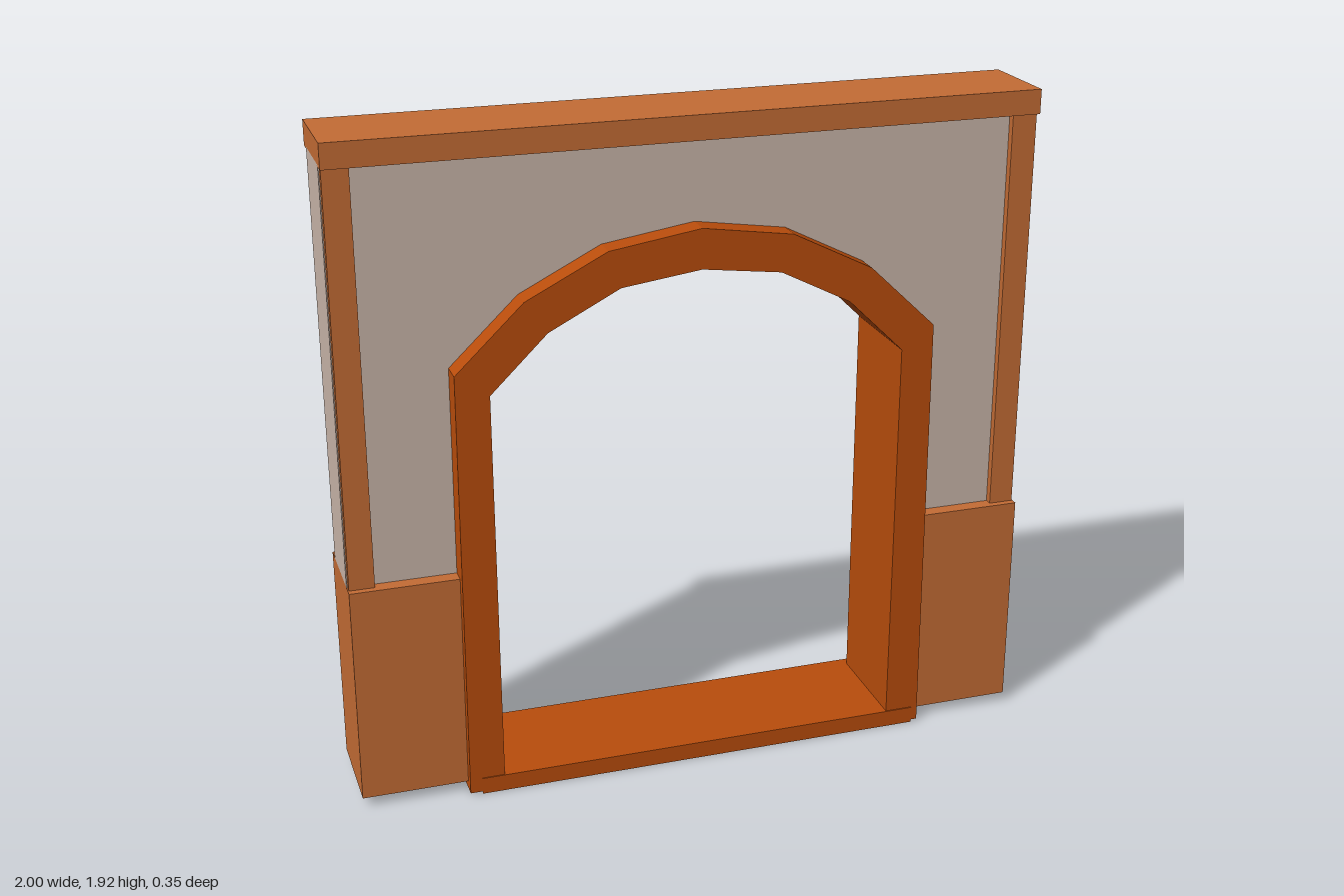
import * as THREE from 'three';

const wood = new THREE.MeshStandardMaterial({ color: 0xb94d0c });
wood.name = 'dark orange trim';
const brick = new THREE.MeshStandardMaterial({ color: 0xc46c35, side: THREE.DoubleSide });
brick.name = 'terracotta';
const plaster = new THREE.MeshStandardMaterial({ color: 0xcab6aa });
plaster.name = 'plaster';

// Arch outlines, right half, from the foot up to the crown
const outer = [[0.695, 0.006], [0.69, 1.28], [0.495, 1.467], [0.262, 1.585], [0, 1.625]];
const inner = [[0.593, 0.006], [0.595, 1.215], [0.432, 1.375], [0.228, 1.48], [0, 1.51]];

// Mirrors a half outline into one running from +x foot over the crown to -x foot
const mirror = (half) => [...half, ...half.slice(0, -1).reverse().map(([x, y]) => [-x, y])];
const toShape = (pts) => new THREE.Shape(pts.map(([x, y]) => new THREE.Vector2(x, y)));

export function createModel() {
  const group = new THREE.Group();

  const add = (name, geometry, material) => {
    const mesh = new THREE.Mesh(geometry, material);
    mesh.name = name;
    group.add(mesh);
  };

  // Box from its limits; open lists faces to leave out (0 +x, 1 -x, 2 +y, 3 -y, 4 +z, 5 -z)
  const box = (name, [x0, x1], [y0, y1], [z0, z1], material, open = []) => {
    const g = new THREE.BoxGeometry(x1 - x0, y1 - y0, z1 - z0);
    g.translate((x0 + x1) / 2, (y0 + y1) / 2, (z0 + z1) / 2);
    if (open.length) {
      g.setIndex(Array.from(g.index.array).filter((_, i) => !open.includes(Math.floor(i / 6))));
      g.clearGroups();
    }
    add(name, g, material);
  };

  const extrude = (name, pts, z0, z1, material) => {
    const g = new THREE.ExtrudeGeometry(toShape(pts), { depth: z1 - z0, bevelEnabled: false });
    g.translate(0, 0, z0);
    add(name, g, material);
  };

  // Arched door surround
  extrude('archFrame', [...mirror(outer), ...mirror(inner).reverse()], -0.147, 0.171, wood);

  // Plaster wall cut out around the arch
  const cut = mirror([[0.65, 0.66], [0.645, 1.25], [0.46, 1.42], [0.245, 1.53], [0, 1.57]]);
  extrude('plasterWall', [[1, 0.66], [1, 1.86], [-1, 1.86], [-1, 0.66], ...cut.reverse()], -0.1, 0.1, plaster);

  // Base blocks and corner posts on both sides
  for (const s of [-1, 1]) {
    const span = (a, b) => (s > 0 ? [a, b] : [-b, -a]);
    const side = s > 0 ? 'left' : 'right';
    box(side + 'Base', span(0.65, 1), [0.03, 0.675], [-0.142, 0.142], brick, [3]);
    box(side + 'Post', span(0.925, 0.997), [0.66, 1.86], [-0.122, 0.122], brick);
  }

  // Top beam
  box('topBeam', [-1, 1], [1.855, 1.925], [-0.136, 0.136], brick);

  // Threshold: raised panel between open-ended front and back lips
  box('thresholdPanel', [-0.6, 0.6], [0.02, 0.05], [-0.15, 0.15], wood);
  box('frontLip', [-0.66, 0.675], [0, 0.05], [0.145, 0.174], wood, [0, 1]);
  box('backLip', [-0.66, 0.675], [0, 0.05], [-0.176, -0.145], wood, [0, 1]);

  return group;
}
